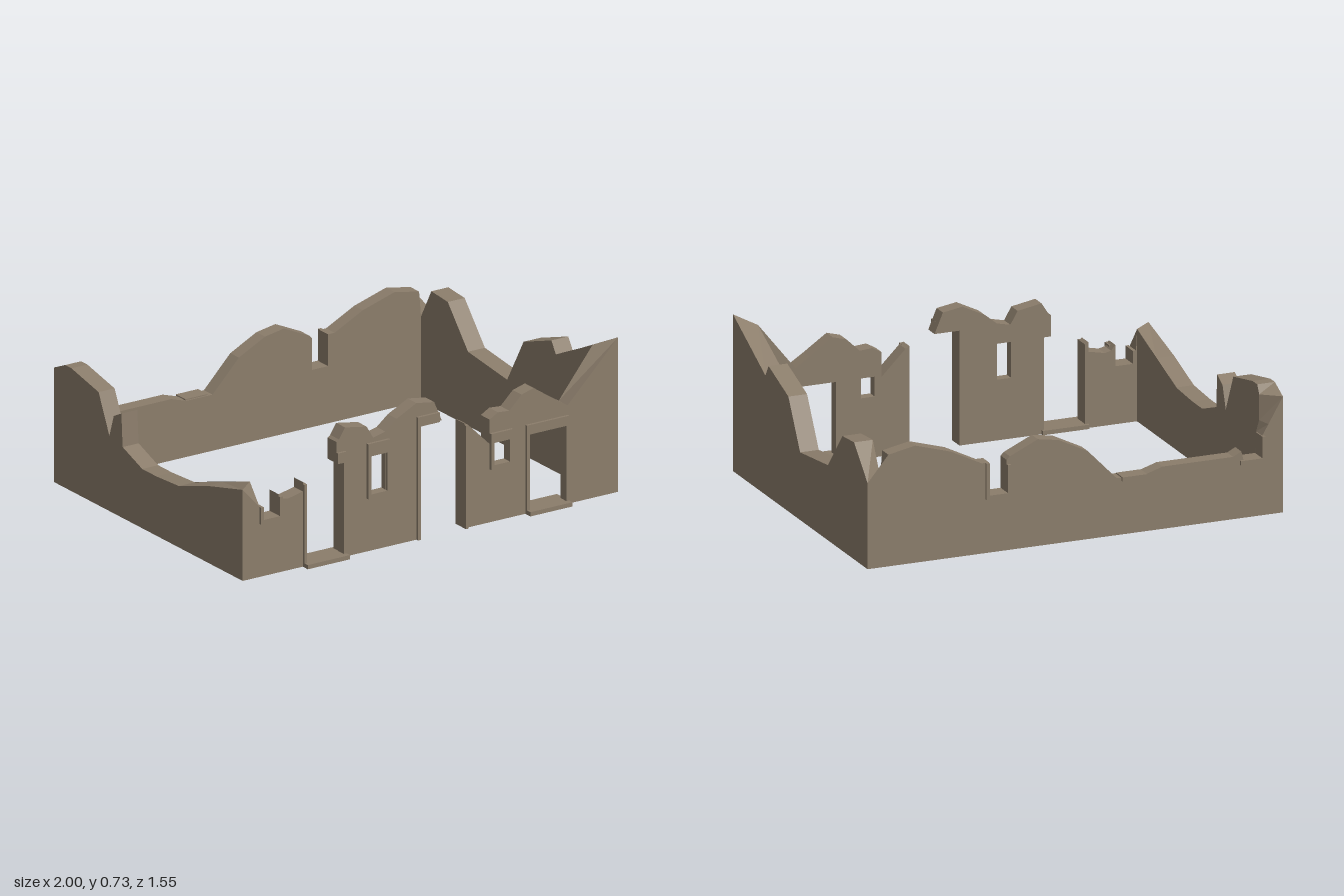
import * as THREE from 'three';

const stone = new THREE.MeshStandardMaterial({ color: 0x8b7d6b });
stone.name = 'weathered stone';

// Each side: yaw, sign from world axis to local x, outer plane, thickness, inner limits for the mitred corners
const SIDES = {
  front: { yaw: 0, sign: 1, outer: 0.735, thick: 0.07, min: -0.915, max: 0.91 },
  back: { yaw: Math.PI, sign: -1, outer: 0.76, thick: 0.068, min: -0.915, max: 0.91 },
  right: { yaw: Math.PI / 2, sign: -1, outer: 1, thick: 0.09, min: -0.692, max: 0.665 },
  left: { yaw: -Math.PI / 2, sign: 1, outer: 1, thick: 0.085, min: -0.692, max: 0.665 },
};

// Broken wall from its outline (world axis, height), with rectangular openings [a, b, low, high]
function wall(name, side, outline, openings = []) {
  const s = SIDES[side];
  const toPoints = (list) => list.map(([w, y]) => new THREE.Vector2(w * s.sign, y));
  const shape = new THREE.Shape(toPoints(outline));
  for (const [a, b, lo, hi] of openings) {
    shape.holes.push(new THREE.Path(toPoints([[a, lo], [a, hi], [b, hi], [b, lo]])));
  }
  const geo = new THREE.ExtrudeGeometry(shape, { depth: 1, bevelEnabled: false });
  const p = geo.attributes.position;
  for (let i = 0; i < p.count; i++) {
    const inner = p.getZ(i) < 0.5;
    if (inner) {
      // mitre the inner face at the corners, tallest tip slopes inwards
      p.setX(i, s.sign * THREE.MathUtils.clamp(p.getX(i) * s.sign, s.min, s.max));
      p.setY(i, Math.min(p.getY(i), 0.69));
    }
    p.setZ(i, inner ? s.outer - s.thick : s.outer);
  }
  geo.computeVertexNormals();
  const mesh = new THREE.Mesh(geo, stone);
  mesh.name = name;
  mesh.rotation.y = s.yaw;
  return mesh;
}

// Box from its limits
function block(name, x0, x1, y0, y1, z0, z1) {
  const mesh = new THREE.Mesh(new THREE.BoxGeometry(x1 - x0, y1 - y0, z1 - z0), stone);
  mesh.name = name;
  mesh.position.set((x0 + x1) / 2, (y0 + y1) / 2, (z0 + z1) / 2);
  return mesh;
}

// Raised surround: bars given as [x0, x1, y0, y1]
function surround(name, bars, z0 = 0.7, z1 = 0.748) {
  const g = new THREE.Group();
  g.name = name;
  bars.forEach((b) => g.add(block(name + 'Bar', ...b, z0, z1)));
  return g;
}

// Four bars around a rectangle
function ring(x0, x1, y0, y1, t, top) {
  return [
    [x0, x0 + t, y0, y1], [x1 - t, x1, y0, y1],
    [x0 + t, x1 - t, y0, y0 + 0.02], [x0 + t, x1 - t, y1 - top, y1],
  ];
}

export function createModel() {
  const model = new THREE.Group();
  model.name = 'ruinedBuilding';

  // Front wall in three broken pieces
  model.add(wall('frontWallRightCorner', 'front', [
    [-1, 0], [-1, 0.43], [-0.91, 0.33], [-0.895, 0.33], [-0.895, 0.27], [-0.81, 0.27],
    [-0.81, 0.37], [-0.79, 0.345], [-0.76, 0.338], [-0.68, 0.355], [-0.68, 0.4],
    [-0.665, 0.39], [-0.665, 0],
  ]));
  model.add(wall('frontWallMiddle', 'front', [
    [-0.468, 0], [-0.468, 0.45], [-0.5, 0.45], [-0.5, 0.55], [-0.487, 0.56], [-0.455, 0.61],
    [-0.34, 0.59], [-0.305, 0.53], [-0.24, 0.545], [-0.18, 0.593], [-0.075, 0.645],
    [0.02, 0.63], [0.06, 0.535], [-0.06, 0.535], [-0.06, 0],
  ], [[-0.325, -0.24, 0.27, 0.45]]));
  model.add(wall('frontWallLeftCorner', 'front', [
    [0.18, 0], [0.18, 0.495], [0.2, 0.485], [0.315, 0.37], [0.315, 0.485], [0.36, 0.51],
    [0.42, 0.505], [0.485, 0.567], [0.55, 0.585], [0.66, 0.51], [0.73, 0.465], [1, 0.73], [1, 0],
  ], [[0.335, 0.415, 0.27, 0.375], [0.52, 0.715, 0.02, 0.375]]));

  // Side walls
  model.add(wall('leftWall', 'right', [
    [0.735, 0], [0.735, 0.73], [0.375, 0.555], [0.34, 0.61], [0.12, 0.535], [-0.01, 0.315],
    [-0.32, 0.35], [-0.48, 0.535], [-0.61, 0.545], [-0.76, 0.4], [-0.76, 0],
  ]));
  model.add(wall('rightWall', 'left', [
    [0.735, 0], [0.735, 0.43], [0.45, 0.36], [0.23, 0.29], [0.05, 0.28], [-0.06, 0.28],
    [-0.215, 0.335], [-0.225, 0.49], [-0.285, 0.46], [-0.32, 0.355], [-0.405, 0.535],
    [-0.62, 0.58], [-0.67, 0.58], [-0.76, 0.54], [-0.76, 0],
  ]));

  // Back wall with broken window notches
  model.add(wall('backWall', 'back', [
    [-1, 0], [-1, 0.54], [-0.93, 0.42], [-0.9, 0.37], [-0.895, 0.27], [-0.81, 0.27],
    [-0.8, 0.31], [-0.76, 0.29], [-0.42, 0.29], [-0.34, 0.265], [-0.2, 0.265], [-0.06, 0.41],
    [0.08, 0.48], [0.18, 0.497], [0.315, 0.435], [0.33, 0.42], [0.33, 0.27], [0.415, 0.27],
    [0.415, 0.42], [0.45, 0.42], [0.6, 0.495], [0.77, 0.545], [0.9, 0.52], [1, 0.4], [1, 0],
  ]));

  // Front window surrounds
  model.add(surround('brokenWindowFrame', [
    [-0.91, -0.895, 0.25, 0.33], [-0.81, -0.795, 0.25, 0.36], [-0.895, -0.81, 0.25, 0.27],
  ]));
  model.add(surround('tallWindowFrame', ring(-0.34, -0.222, 0.25, 0.51, 0.016, 0.06)));
  model.add(surround('smallWindowFrame', ring(0.315, 0.432, 0.25, 0.42, 0.018, 0.045)));

  // Door surrounds and steps
  model.add(surround('brokenDoorFrame', [
    [-0.68, -0.665, 0, 0.39], [-0.47, -0.455, 0, 0.5], [-0.5, -0.455, 0.45, 0.5],
  ]));
  model.add(surround('middleDoorFrame', [
    [-0.075, -0.06, 0, 0.58], [-0.06, 0.042, 0.535, 0.58], [0.18, 0.195, 0, 0.488],
  ]));
  model.add(surround('doorFrame', ring(0.505, 0.73, 0, 0.42, 0.015, 0.045)));
  model.add(block('doorStep', -0.68, -0.455, 0, 0.02, 0.65, 0.775));
  model.add(block('doorStep', 0.505, 0.73, 0, 0.02, 0.65, 0.775));

  // Back window remnants
  [-0.91, -0.34, 0.315].forEach((x, i) => {
    const bars = [[x, x + 0.118, 0.25, 0.27]];
    if (i === 0) bars.push([x, x + 0.015, 0.25, 0.37]);
    if (i === 2) bars.push([x, x + 0.015, 0.25, 0.4], [x + 0.103, x + 0.118, 0.25, 0.42]);
    model.add(surround('backWindowFrame', bars, -0.775, -0.7));
  });

  return model;
}
